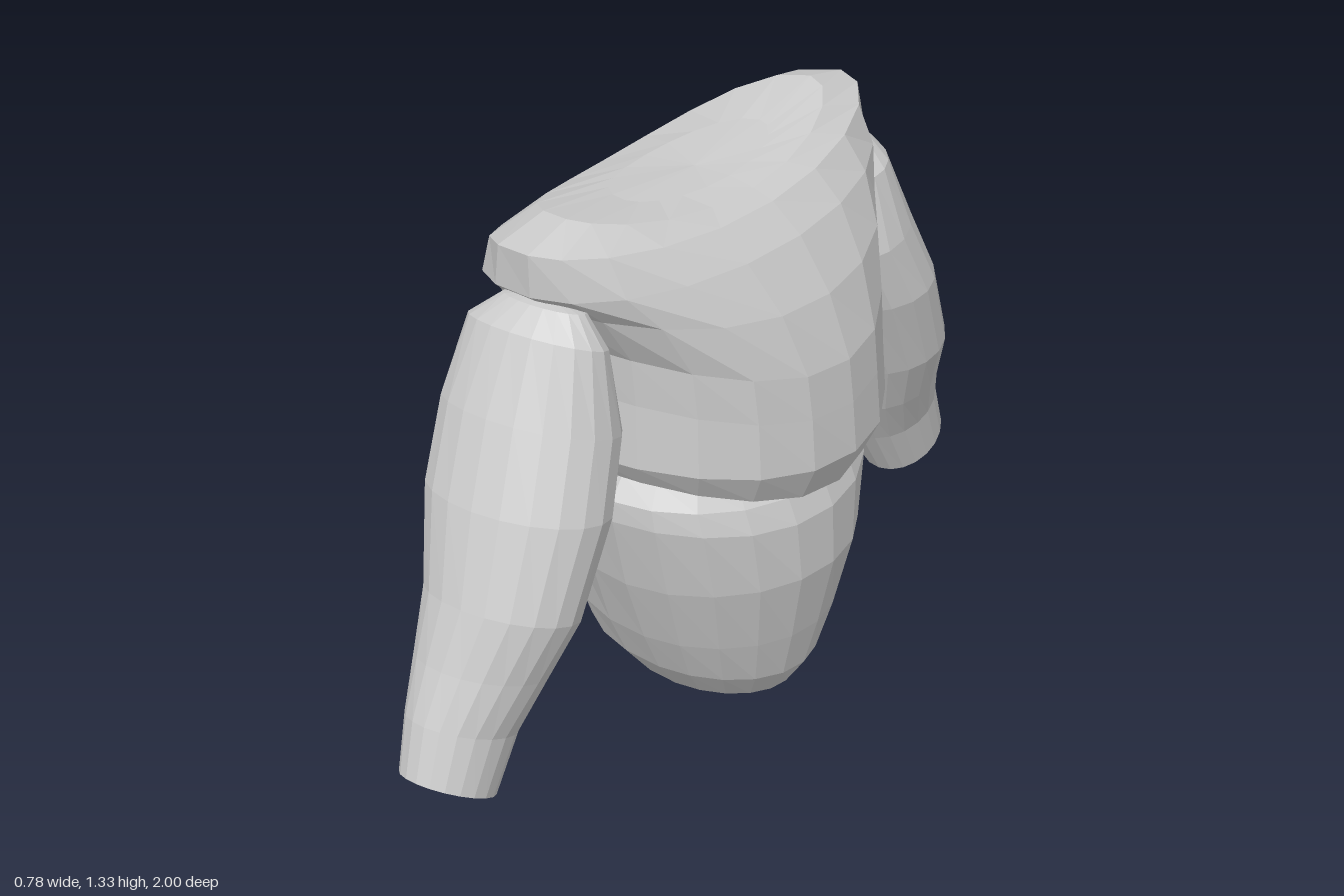
import * as THREE from 'three';

const SIDES = 20;
const material = new THREE.MeshStandardMaterial({ color: 0xcccccc, flatShading: true });

// Skin a stack of rings, listed top to bottom, and close both ends with a fan.
function loft(name, rings, top, bottom) {
  const pos = [...rings.flat(2), ...top, ...bottom];
  const index = [];
  const n = rings.length;
  const last = (n - 1) * SIDES;
  for (let j = 0; j < SIDES; j++) {
    const k = (j + 1) % SIDES;
    for (let i = 0; i < n - 1; i++) {
      const a = i * SIDES + j, b = i * SIDES + k;
      index.push(a, b, a + SIDES, b, b + SIDES, a + SIDES);
    }
    index.push(n * SIDES, k, j);
    index.push(n * SIDES + 1, last + j, last + k);
  }
  const geo = new THREE.BufferGeometry();
  geo.setAttribute('position', new THREE.Float32BufferAttribute(pos, 3));
  geo.setIndex(index);
  geo.computeVertexNormals();
  const mesh = new THREE.Mesh(geo, material);
  mesh.name = name;
  return mesh;
}

// Call f(cos, sin) around a circle, in either direction.
const around = (f, dir = 1) => Array.from({ length: SIDES }, (_, j) => {
  const a = dir * j / SIDES * Math.PI * 2;
  return f(Math.cos(a), Math.sin(a));
});

// Body ring: height at the sides, at +x and at -x; half width in z; x limits.
function bodyRing([ySide, yPlus, yMinus, halfZ, xPlus, xMinus], cx) {
  return around((c, s) => [
    cx + (c > 0 ? xPlus - cx : cx - xMinus) * c,
    ySide + ((c > 0 ? yPlus : yMinus) - ySide) * c * c,
    halfZ * s,
  ]);
}

// Arm ring: inner point (z, y), outer point (z, y) and x limits.
// The mirrored arm runs round the other way so its faces still point outward.
function armRing([zi, yi, zo, yo, x0, x1], side) {
  return around((c, s) => [
    (x0 + x1) / 2 + c * (x1 - x0) / 2,
    (yi + yo) / 2 + s * (yo - yi) / 2,
    side * ((zi + zo) / 2 + s * (zo - zi) / 2),
  ], side);
}

export function createModel() {
  const group = new THREE.Group();
  group.name = 'torsoWithArms';

  // Chest with a saddle-shaped top and overhanging shoulder rim
  const chest = [
    [1.29, 1.275, 1.265, 0.25, 0.06, -0.16],
    [1.325, 1.262, 1.225, 0.45, 0.12, -0.27],
    [1.295, 1.245, 1.15, 0.578, 0.17, -0.345],
    [1.2, 1.185, 1.08, 0.575, 0.24, -0.386],
    [1.14, 1.07, 1.0, 0.5, 0.315, -0.387],
    [1.03, 0.93, 0.88, 0.425, 0.368, -0.386],
    [0.92, 0.83, 0.75, 0.415, 0.38, -0.386],
    [0.77, 0.715, 0.6, 0.42, 0.39, -0.38],
    [0.72, 0.63, 0.53, 0.385, 0.35, -0.36],
    [0.7, 0.62, 0.52, 0.3, 0.28, -0.28],
  ].map((r) => bodyRing(r, -0.03));
  group.add(loft('chest', chest, [-0.03, 1.275, 0], [0, 0.65, 0]));

  // Rounded lower body
  const belly = [
    [0.7, 0.65, 0.6, 0.34, 0.27, -0.22],
    [0.65, 0.62, 0.56, 0.38, 0.31, -0.26],
    [0.6, 0.56, 0.5, 0.38, 0.335, -0.285],
    [0.42, 0.42, 0.42, 0.335, 0.34, -0.305],
    [0.25, 0.25, 0.25, 0.27, 0.302, -0.312],
    [0.14, 0.13, 0.15, 0.215, 0.268, -0.29],
    [0.06, 0.06, 0.08, 0.15, 0.22, -0.225],
    [0.015, 0.015, 0.03, 0.08, 0.15, -0.12],
  ].map((r) => bodyRing(r, 0.02));
  group.add(loft('lowerBody', belly, [0.02, 0.69, 0], [0.03, 0, 0]));

  // Arms spread along z, cut off at the wrist with a shallow hollow
  const arm = [
    [0.48, 1.16, 0.575, 1.185, -0.13, 0.07],
    [0.44, 1.07, 0.625, 1.14, -0.21, 0.12],
    [0.415, 0.88, 0.71, 0.98, -0.25, 0.16],
    [0.48, 0.74, 0.79, 0.81, -0.24, 0.185],
    [0.59, 0.53, 0.86, 0.62, -0.185, 0.17],
    [0.645, 0.4, 0.91, 0.49, -0.17, 0.12],
    [0.72, 0.28, 0.96, 0.38, -0.15, 0.08],
    [0.8, 0.155, 1, 0.265, -0.13, 0.07],
  ];
  for (const [name, side] of [['frontArm', 1], ['backArm', -1]]) {
    const rings = arm.map((r) => armRing(r, side));
    group.add(loft(name, rings, [-0.03, 1.19, side * 0.52], [-0.03, 0.23, side * 0.89]));
  }
  return group;
}
